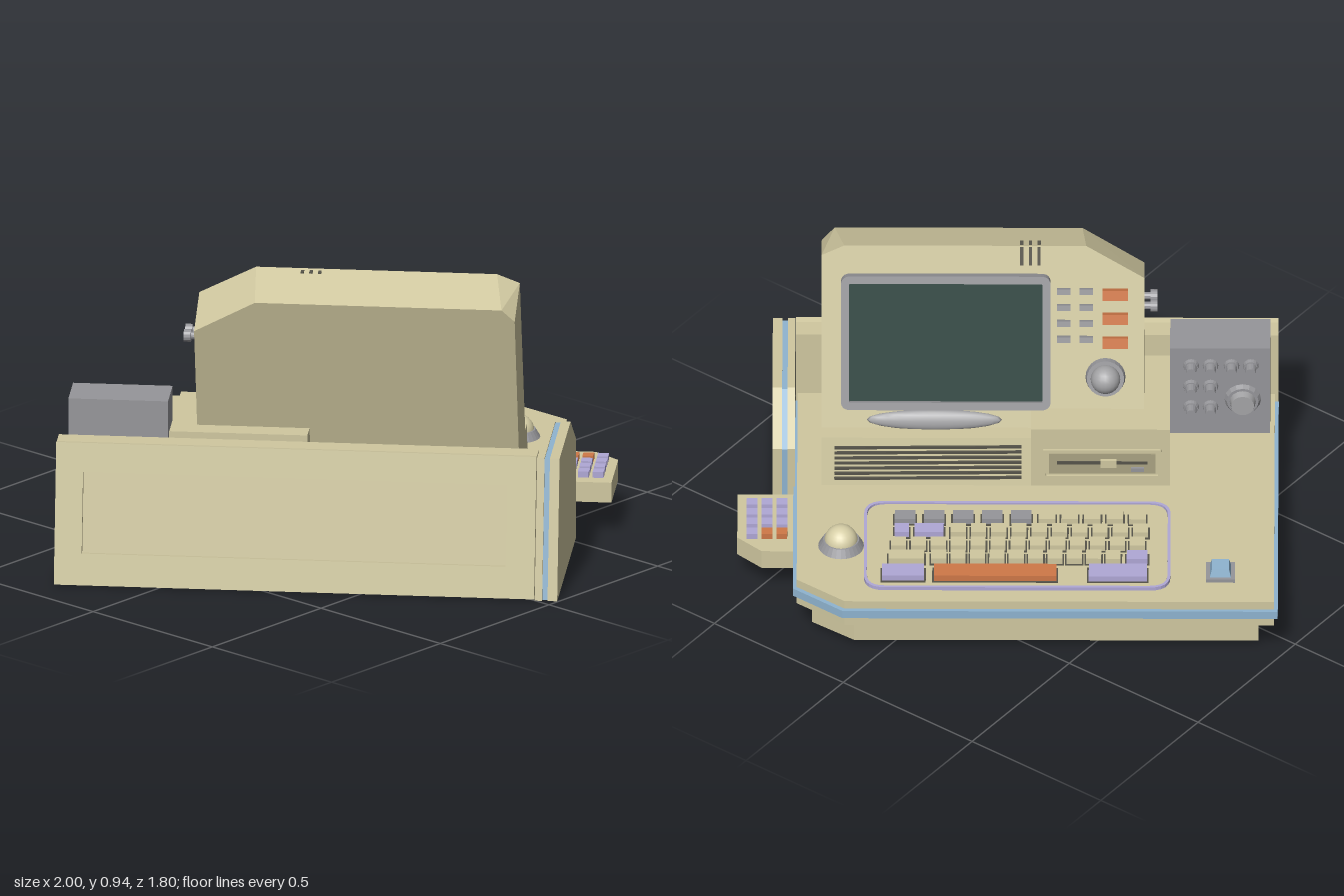
import * as THREE from 'three';
import { ConvexGeometry } from 'three/addons/geometries/ConvexGeometry.js';

const paint = (color, flat = true) => new THREE.MeshStandardMaterial({ color, flatShading: flat });
const cream = paint(0xd0c8a0), blue = paint(0x8fb4d0), orange = paint(0xcf7848), violet = paint(0xb0a8d6);
const grey = paint(0x96969a), dark = paint(0x56544a), glass = paint(0x263f3a);
const smoothGrey = paint(0xa4a4a6, false), smoothCream = paint(0xd8d0a8, false);

export function createModel() {
  const model = new THREE.Group();
  // Console axes: +x is the operator's right, +z points at the operator
  const body = new THREE.Group();
  body.name = 'console';
  body.rotation.y = Math.PI + Math.atan2(0.6, 0.8);
  model.add(body);

  const add = (name, geo, mat, x = 0, y = 0, z = 0, parent = body) => {
    const m = new THREE.Mesh(geo, mat);
    m.name = name;
    m.position.set(x, y, z);
    parent.add(m);
    return m;
  };
  const box = (name, w, h, d, mat, x, y, z, parent) =>
    add(name, new THREE.BoxGeometry(w, h, d), mat, x, y, z, parent);
  const shapeOf = pts => new THREE.Shape(pts.map(p => new THREE.Vector2(p[0], p[1])));
  const solid = (shape, depth) => new THREE.ExtrudeGeometry(shape, { depth, bevelEnabled: false, curveSegments: 6 });
  // Outline in plan (x, z) raised from y0 to y1
  const slab = (name, pts, y0, y1, mat) =>
    add(name, solid(shapeOf(pts.map(([x, z]) => [x, -z])), y1 - y0).rotateX(-Math.PI / 2), mat, 0, y0, 0);
  // Side profile (z, y) swept from x0 to x1
  const sweep = (name, pts, x0, x1, mat) =>
    add(name, solid(shapeOf(pts.map(([z, y]) => [-z, y])), x1 - x0).rotateY(Math.PI / 2), mat, x0, 0, 0);
  const rounded = (w, h, r, C = THREE.Shape) => {
    const s = new C(), x = w / 2, y = h / 2;
    s.moveTo(-x + r, -y).lineTo(x - r, -y).quadraticCurveTo(x, -y, x, -y + r).lineTo(x, y - r)
      .quadraticCurveTo(x, y, x - r, y).lineTo(-x + r, y).quadraticCurveTo(-x, y, -x, y - r)
      .lineTo(-x, -y + r).quadraticCurveTo(-x, -y, -x + r, -y);
    return s;
  };
  const ring = (w, h, r, t, depth) => {
    const s = rounded(w, h, r);
    s.holes.push(rounded(w - 2 * t, h - 2 * t, Math.max(r - t, 0.005), THREE.Path));
    return solid(s, depth);
  };
  const dial = (name, r, h, mat, x, y, z, parent) =>
    add(name, new THREE.CylinderGeometry(r * 0.85, r, h, 16).rotateX(Math.PI / 2), mat, x, y, z, parent);

  // Desk: stacked layers with a clipped front left corner
  const plan = (i, back = -0.4) => [[-0.757 + i, back], [0.746 - i, back], [0.746 - i, 0.675 - i],
    [-0.603 + i * 0.6, 0.675 - i], [-0.757 + i, 0.56 - i * 0.6]];
  slab('deskBase', plan(0.06, -0.37), 0.025, 0.12, cream);
  slab('deskUnderside', plan(0.012), 0.12, 0.155, cream);
  slab('blueTrim', plan(0), 0.155, 0.183, blue);
  slab('deskTop', plan(0.012), 0.183, 0.212, cream);

  // Rear housing: leaning back wall with a recessed panel
  sweep('rearHousing', [[-0.545, 0], [-0.465, 0.44], [-0.4, 0.44], [-0.4, 0]], -0.75, 0.745, cream);
  const wall = shapeOf([[-0.75, 0], [0.745, 0], [0.745, 0.447], [-0.75, 0.447]]);
  wall.holes.push(new THREE.Path([[-0.66, 0.1], [-0.66, 0.355], [0.66, 0.355], [0.66, 0.1]]
    .map(p => new THREE.Vector2(...p))));
  add('rearFrame', solid(wall, 0.02).translate(0, 0, -0.02), cream, 0, 0, -0.545).rotation.x = Math.atan(0.182);

  // Left side wall with a blue layer inside
  const side = [[-0.565, 0], [-0.485, 0.44], [-0.13, 0.44], [0.04, 0.33], [0.04, 0]];
  sweep('sideWallInner', side, -0.775, -0.752, cream);
  sweep('sideWallTrim', side.map(([z, y]) => [z * 0.985, y * 0.99]), -0.792, -0.775, blue);
  sweep('sideWallOuter', side, -0.822, -0.792, cream);

  // Pedestal with ventilation slats and the disk drive
  sweep('pedestal', [[0.07, 0.21], [0.035, 0.37], [-0.36, 0.37], [-0.36, 0.21]], -0.67, -0.02, cream);
  for (let i = 0; i < 7; i++) {
    const y = 0.238 + i * 0.017;
    box('ventSlat', 0.58, 0.008, 0.012, dark, -0.34, y, 0.07 - (y - 0.21) * 0.22).rotation.z = 0.008;
  }
  box('driveHousing', 0.43, 0.22, 0.38, cream, 0.195, 0.32, -0.12);
  add('driveFrame', ring(0.37, 0.11, 0.008, 0.01, 0.008), cream, 0.2, 0.3, 0.07);
  box('driveFace', 0.33, 0.075, 0.006, paint(0xaaa382), 0.2, 0.3, 0.071);
  box('driveSlot', 0.28, 0.01, 0.006, dark, 0.2, 0.305, 0.074);
  box('driveLatch', 0.05, 0.026, 0.012, cream, 0.22, 0.305, 0.078);
  box('driveButton', 0.04, 0.014, 0.01, grey, 0.31, 0.28, 0.076);

  // Monitor: leaning hull between a front and a back outline
  const zFront = y => -0.2 + 0.32 * (0.94 - y), zBack = y => -0.243 - 0.29 * (y - 0.44);
  const front = [[-0.67, 0.36], [0.33, 0.36], [0.33, 0.84], [0.15, 0.94], [-0.6, 0.94], [-0.67, 0.91]];
  const back = [[-0.67, 0.36], [0.33, 0.36], [0.33, 0.77], [0.138, 0.88], [-0.63, 0.88], [-0.67, 0.84]];
  add('monitor', new ConvexGeometry([
    ...front.map(([x, y]) => new THREE.Vector3(x, y, zFront(y))),
    ...back.map(([x, y]) => new THREE.Vector3(x, y, zBack(y)))]), cream);

  // Front panel parts lie in the leaning plane of the monitor
  const panel = new THREE.Group();
  panel.name = 'monitorPanel';
  panel.position.set(0, 0.64, zFront(0.64));
  panel.rotation.x = -Math.atan(0.32);
  body.add(panel);
  const v = y => (y - 0.64) * 1.05;
  add('screenBezel', ring(0.65, 0.44, 0.03, 0.025, 0.028), grey, -0.285, v(0.643), 0, panel);
  box('screen', 0.605, 0.395, 0.016, glass, -0.285, v(0.643), 0.006, panel);
  add('screenLip', new THREE.SphereGeometry(1, 24, 10).scale(0.21, 0.033, 0.02), smoothGrey, -0.32, v(0.395), 0, panel);
  for (const y of [0.79, 0.715, 0.64]) box('orangeButton', 0.08, 0.034, 0.024, orange, 0.24, v(y), 0.008, panel);
  for (const x of [0.08, 0.15])
    for (const y of [0.8, 0.75, 0.7, 0.65]) box('smallButton', 0.042, 0.018, 0.02, grey, x, v(y), 0.006, panel);
  add('tuningCollar', new THREE.CylinderGeometry(0.058, 0.062, 0.02, 24).rotateX(Math.PI / 2), grey, 0.21, v(0.53), 0.01, panel);
  add('tuningKnob', new THREE.SphereGeometry(0.046, 20, 12), smoothGrey, 0.21, v(0.53), 0.022, panel);
  for (let i = 0; i < 3; i++) {
    box('topSlit', 0.01, 0.06, 0.006, dark, -0.05 + i * 0.027, v(0.908), 0, panel);
    box('topSlitUpper', 0.01, 0.004, 0.03, dark, -0.05 + i * 0.027, 0.935, -0.216);
  }
  for (const z of [-0.185, -0.235]) {
    add('sideKnobStem', new THREE.CylinderGeometry(0.012, 0.012, 0.03, 12).rotateZ(Math.PI / 2), grey, 0.34, 0.72, z);
    add('sideKnob', new THREE.CylinderGeometry(0.02, 0.02, 0.022, 14).rotateZ(Math.PI / 2), grey, 0.36, 0.72, z);
  }

  // Grey control box
  box('controlBox', 0.31, 0.33, 0.15, grey, 0.565, 0.376, -0.275);
  const knobSpots = [0.475, 0.535, 0.6, 0.66].map(x => [x, 0.475]);
  for (const y of [0.395, 0.315]) knobSpots.push([0.475, y], [0.535, y]);
  for (const [x, y] of knobSpots) {
    dial('knobBase', 0.025, 0.014, grey, x, y, -0.195);
    dial('knob', 0.018, 0.035, grey, x, y, -0.178);
  }
  dial('largeDialBase', 0.058, 0.016, grey, 0.635, 0.345, -0.194);
  dial('largeDial', 0.042, 0.03, smoothGrey, 0.635, 0.345, -0.178);

  // Keyboard tray and keys
  add('keyboardTray', solid(rounded(0.93, 0.42, 0.06), 0.008).rotateX(-Math.PI / 2), cream, -0.062, 0.211, 0.386);
  add('keyboardRim', ring(0.95, 0.44, 0.065, 0.009, 0.013).rotateX(-Math.PI / 2), violet, -0.062, 0.211, 0.386);
  const key = (name, x, z, w, d, mat) => {
    box(name + 'Well', w + 0.01, 0.006, d + 0.01, dark, x, 0.219, z);
    box(name, w, 0.026, d, mat, x, 0.229, z);
  };
  const run = (x0, x1, n, z, w, mat) => {
    for (let i = 0; i < n; i++) key('key', x0 + (x1 - x0) * i / (n - 1), z, w, 0.046, mat);
  };
  run(-0.41, -0.05, 5, 0.258, 0.064, grey);
  run(0.03, 0.31, 5, 0.258, 0.052, cream);
  run(-0.245, 0.32, 10, 0.325, 0.047, cream);
  run(-0.43, 0.31, 13, 0.393, 0.047, cream);
  run(-0.305, 0.235, 10, 0.46, 0.047, cream);
  key('wideKey', -0.405, 0.46, 0.11, 0.046, cream);
  key('violetKey', -0.335, 0.325, 0.09, 0.046, violet);
  key('violetKey', -0.42, 0.325, 0.045, 0.046, violet);
  key('violetKey', 0.31, 0.46, 0.065, 0.046, violet);
  key('violetKey', -0.415, 0.54, 0.13, 0.06, violet);
  key('violetKey', 0.25, 0.54, 0.18, 0.065, violet);
  key('spaceBar', -0.13, 0.54, 0.38, 0.062, orange);

  // Trackball
  add('trackballRing', new THREE.CylinderGeometry(0.056, 0.072, 0.028, 28), grey, -0.608, 0.224, 0.378);
  add('trackball', new THREE.SphereGeometry(0.052, 24, 16), smoothCream, -0.608, 0.232, 0.378);

  // Blue push button
  box('buttonFrame', 0.09, 0.014, 0.09, grey, 0.568, 0.217, 0.52);
  add('buttonCap', new THREE.CylinderGeometry(0.037, 0.048, 0.03, 4).rotateY(Math.PI / 4), blue, 0.568, 0.235, 0.52);

  // Side keypad
  slab('keypad', [[-0.74, 0.07], [-0.74, 0.36], [-0.854, 0.36], [-0.93, 0.29], [-0.93, 0.07]], 0.11, 0.175, cream);
  [-0.792, -0.838, -0.884].forEach((x, c) => {
    [0.28, 0.23, 0.18, 0.13].forEach((z, r) =>
      box('keypadKey', 0.034, 0.024, 0.034, r === 0 && c < 2 ? orange : violet, x, 0.182, z));
  });
  return model;
}
